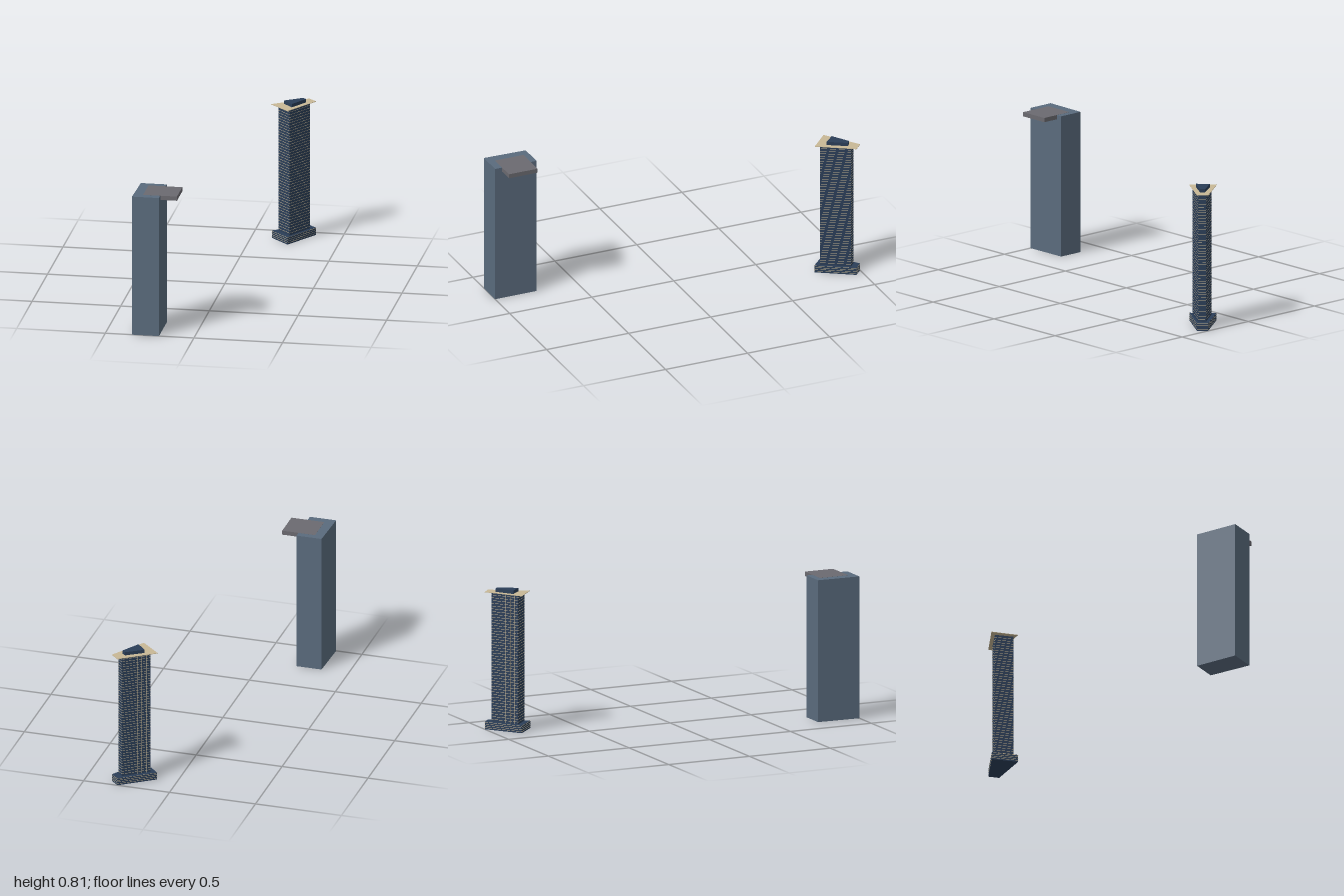
import * as THREE from 'three';

const mat = (color) => new THREE.MeshStandardMaterial({ color, flatShading: true });

// Upright prism over a plan outline of [x, z] corners
function prism(name, plan, y0, y1, material) {
  const shape = new THREE.Shape(plan.map(([x, z]) => new THREE.Vector2(x, -z)));
  const geo = new THREE.ExtrudeGeometry(shape, { depth: y1 - y0, bevelEnabled: false });
  geo.rotateX(-Math.PI / 2).translate(0, y0, 0);
  const mesh = new THREE.Mesh(geo, material);
  mesh.name = name;
  return mesh;
}

// Plan outline scaled a little about its centre
function grow(plan, s) {
  const cx = plan.reduce((t, p) => t + p[0], 0) / plan.length;
  const cz = plan.reduce((t, p) => t + p[1], 0) / plan.length;
  return plan.map(([x, z]) => [cx + (x - cx) * s, cz + (z - cz) * s]);
}

export function createModel() {
  const model = new THREE.Group();
  const slate = mat(0x5a6b7d), grey = mat(0x6b6a70);
  const navy = mat(0x2b3e58), sand = mat(0xc8b896);

  // Plain block with a projecting roof slab
  const block = new THREE.Group();
  block.name = 'plainTower';
  block.add(prism('plainTowerBody',
    [[-0.35, 1], [-0.197, 1], [-0.197, 0.748], [-0.343, 0.748]], 0, 0.806, slate));
  block.add(prism('roofSlab',
    [[-0.294, 0.958], [-0.103, 0.958], [-0.103, 0.784], [-0.294, 0.784]], 0.782, 0.8065, grey));
  model.add(block);

  // Wedge-plan tower: corners run left, front, right, back
  const basePlan = [[0.115, -0.863], [0.222, -0.757], [0.348, -0.957], [0.303, -0.999]];
  const bodyPlan = [[0.153, -0.866], [0.229, -0.79], [0.318, -0.936], [0.288, -0.965]];
  const roofPlan = [[0.111, -0.863], [0.224, -0.759], [0.349, -0.957], [0.303, -1]];
  const crownPlan = [[0.181, -0.882], [0.235, -0.825], [0.297, -0.928], [0.276, -0.945]];

  const tower = new THREE.Group();
  tower.name = 'wedgeTower';
  tower.add(prism('podium', basePlan, 0, 0.043, navy));
  tower.add(prism('shaft', bodyPlan, 0.043, 0.778, navy));
  tower.add(prism('roofPlate', roofPlan, 0.778, 0.7805, sand));
  tower.add(prism('crown', crownPlan, 0.7805, 0.8, navy));

  // Pale floor lines around the podium and shaft
  const lines = new THREE.Group();
  lines.name = 'floorLines';
  const addLines = (plan, start, step, count) => {
    for (let i = 0; i < count; i++) {
      const y = start + i * step;
      lines.add(prism('floorLine', grow(plan, 1.008), y, y + 0.002, sand));
    }
  };
  addLines(basePlan, 0.008, 0.0105, 4);
  addLines(bodyPlan, 0.0555, 0.0157, 46);
  tower.add(lines);

  // Vertical mullions on the left part of the rear face
  const [left, , , back] = bodyPlan;
  const dx = left[0] - back[0], dz = left[1] - back[1];
  for (const t of [0.54, 0.7, 0.86]) {
    const mullion = new THREE.Mesh(new THREE.BoxGeometry(0.002, 0.735, 0.002), sand);
    mullion.name = 'mullion';
    mullion.position.set(back[0] + dx * t, 0.4105, back[1] + dz * t);
    mullion.rotation.y = Math.atan2(-dz, dx);
    tower.add(mullion);
  }
  model.add(tower);
  return model;
}
